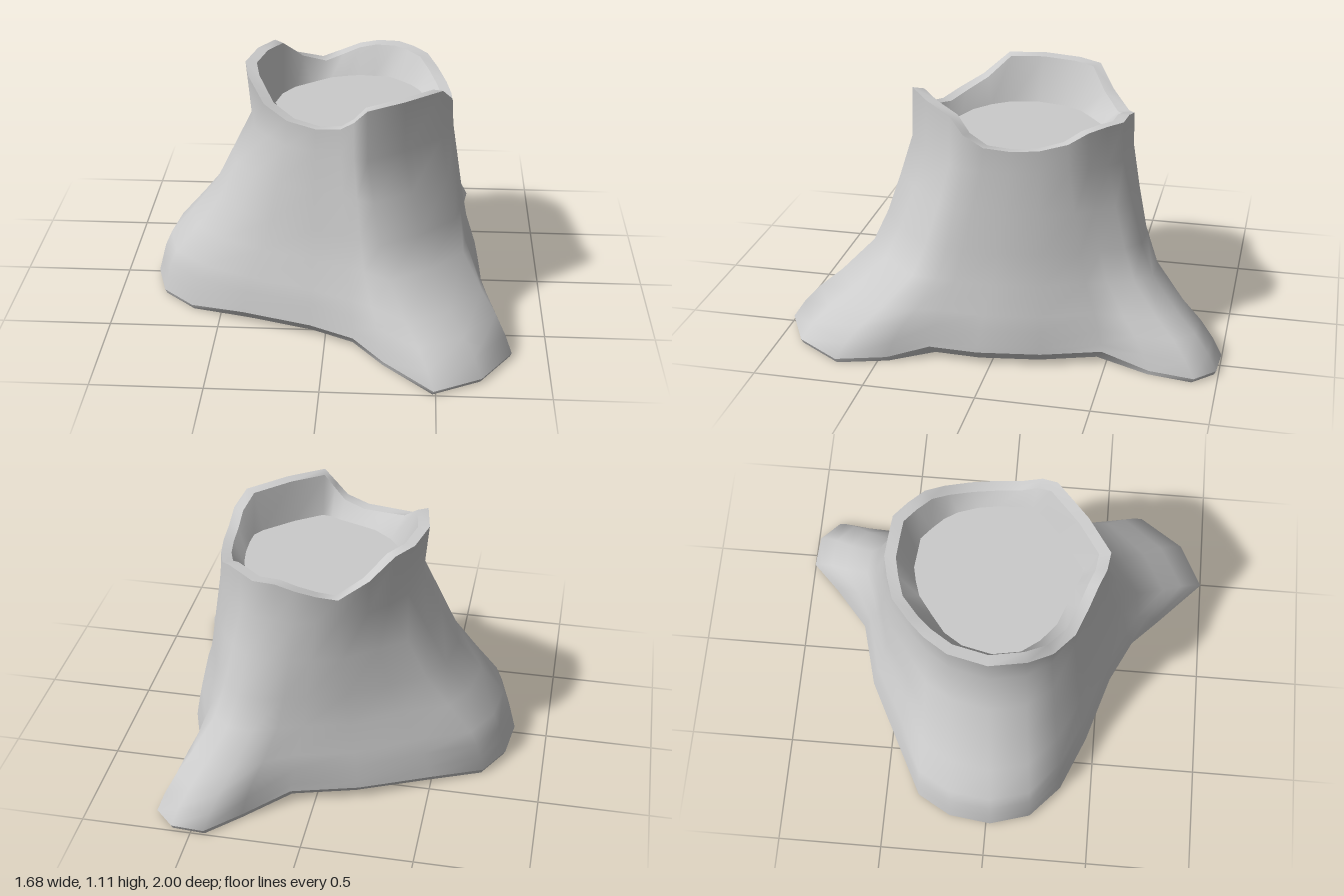
import * as THREE from 'three';

// One column per line around the trunk: foot x, z, then lip x, y, z
const COLUMNS = [
  -0.845, 0.02, -0.40, 1.11, -0.02,
  -0.79, 0.21, -0.37, 1.11, 0.15,
  -0.64, 0.35, -0.29, 1.02, 0.26,
  -0.39, 0.46, -0.18, 0.98, 0.35,
  -0.07, 0.56, -0.05, 0.965, 0.40,
  0.13, 0.66, 0.06, 0.985, 0.44,
  0.27, 0.79, 0.12, 1.03, 0.47,
  0.49, 1.00, 0.18, 1.09, 0.48,
  0.70, 0.89, 0.34, 1.09, 0.37,
  0.84, 0.68, 0.505, 1.085, 0.22,
  0.78, 0.46, 0.55, 1.02, 0.15,
  0.71, 0.28, 0.555, 0.97, 0.06,
  0.72, 0.06, 0.55, 0.96, -0.06,
  0.68, -0.22, 0.53, 0.965, -0.18,
  0.59, -0.48, 0.49, 0.99, -0.30,
  0.65, -0.70, 0.44, 1.03, -0.38,
  0.68, -0.90, 0.37, 1.04, -0.45,
  0.59, -0.99, 0.30, 1.04, -0.51,
  0.44, -1.00, 0.20, 1.04, -0.52,
  0.30, -0.86, 0.11, 1.02, -0.53,
  0.11, -0.70, 0.02, 0.99, -0.51,
  -0.19, -0.62, -0.07, 0.965, -0.48,
  -0.50, -0.46, -0.19, 1.02, -0.39,
  -0.73, -0.34, -0.29, 1.11, -0.31,
  -0.82, -0.18, -0.36, 1.11, -0.20,
];
const CENTRE = { x: 0.1, z: -0.03 };
const N = COLUMNS.length / 5;

// Builds a ring by calling fn on every column
function ring(fn) {
  return Array.from({ length: N }, (_, i) => {
    const [fx, fz, lx, ly, lz] = COLUMNS.slice(i * 5, i * 5 + 5);
    return fn({ fx, fz, lx, ly, lz });
  });
}

// Point scaled about the trunk axis
const towardAxis = (x, y, z, s) => [CENTRE.x + (x - CENTRE.x) * s, y, CENTRE.z + (z - CENTRE.z) * s];

// How far a foot column lies in a valley between roots, 0 to 1
const valley = (x, z) => THREE.MathUtils.smoothstep(0.85 - Math.hypot(x - CENTRE.x, z), 0, 0.2);

// Skin between successive rings, each closed around the trunk
function loft(name, rings, material) {
  const index = [];
  for (let r = 0; r < rings.length - 1; r++) {
    for (let i = 0; i < N; i++) {
      const j = (i + 1) % N;
      const a = r * N + i, b = r * N + j, c = b + N, d = a + N;
      index.push(a, b, c, a, c, d);
    }
  }
  const geometry = new THREE.BufferGeometry();
  geometry.setAttribute('position', new THREE.Float32BufferAttribute(rings.flat(2), 3));
  geometry.setIndex(index);
  geometry.computeVertexNormals();
  const mesh = new THREE.Mesh(geometry, material);
  mesh.name = name;
  return mesh;
}

export function createModel() {
  const group = new THREE.Group();
  group.name = 'treeStump';
  const wood = new THREE.MeshStandardMaterial({ color: 0xcccccc, side: THREE.DoubleSide });

  // Flared bark: the foot spread fades out with height,
  // slower on the broad root at -x and in the valleys between roots
  const levels = [
    { y: 0.09, spread: 0.91, broad: 0.05, fill: 0.06 },
    { y: 0.16, spread: 0.78, broad: 0.14, fill: 0.11 },
    { y: 0.23, spread: 0.60, broad: 0.25, fill: 0.20 },
    { y: 0.36, spread: 0.34, broad: 0.26, fill: 0.20 },
    { y: 0.50, spread: 0.22, broad: 0.13, fill: 0.16 },
    { y: 0.68, spread: 0.11, broad: 0.04, fill: 0.10 },
    { y: 0.86, spread: 0.01, broad: -0.06, fill: 0.03 },
  ];
  const foot = ring(({ fx, fz }) => [fx, 0.02 + 0.04 * valley(fx, fz), fz]);
  const flare = levels.map(({ y, spread, broad, fill }) => ring(({ fx, fz, lx, lz }) => {
    const root = THREE.MathUtils.smoothstep(-fx, 0.3, 0.75);
    const t = spread + broad * root + fill * valley(fx, fz) * (1 - root);
    return [lx + (fx - lx) * t, y, lz + (fz - lz) * t];
  }));
  const lip = ring(({ lx, ly, lz }) => [lx, ly, lz]);
  const innerLip = ring(({ lx, ly, lz }) => towardAxis(lx, ly - 0.005, lz, 0.895));
  const floor = ring(({ lx, lz }) => towardAxis(lx + 0.01, 0.9, lz + 0.01, 0.76));
  const floorCentre = ring(() => [CENTRE.x, 0.9, CENTRE.z]);

  // Turned-under edge of the open base, widest between the roots
  const sole = ring(({ fx, fz }) => {
    const v = valley(fx, fz);
    return towardAxis(fx, 0.015 * v, fz, 0.99 - 0.05 * v);
  });

  group.add(
    loft('footEdge', [sole, foot], wood),
    loft('bark', [foot, ...flare, lip], wood),
    loft('brokenLip', [lip, innerLip], wood),
    loft('hollowWall', [innerLip, floor], wood),
    loft('cutTop', [floor, floorCentre], wood),
  );
  return group;
}
